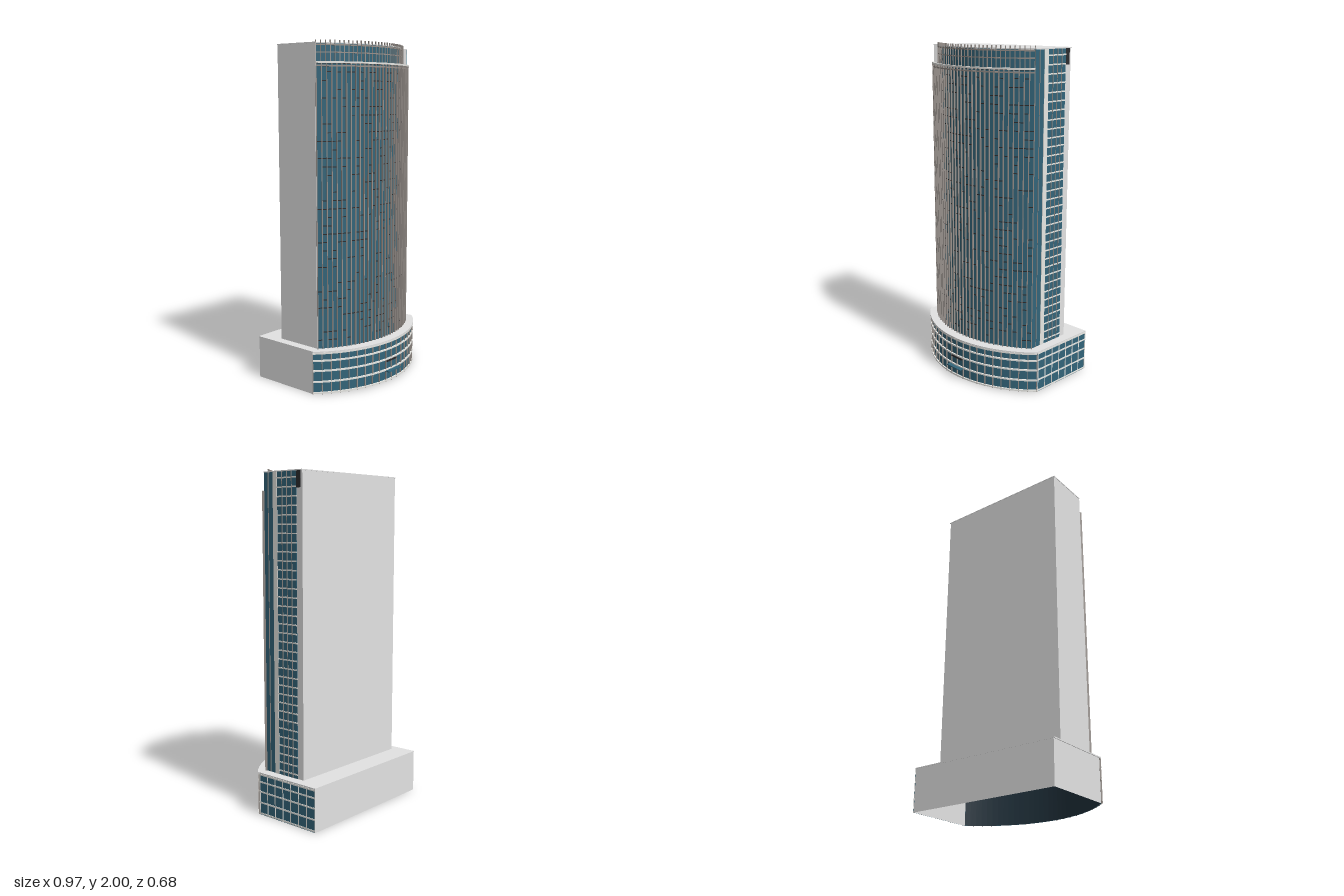
import * as THREE from 'three';
import { mergeGeometries } from 'three/addons/utils/BufferGeometryUtils.js';

const mat = (name, color, side = THREE.FrontSide) => {
  const m = new THREE.MeshStandardMaterial({ color, side });
  m.name = name;
  return m;
};

// Curved front described by half width, z at its ends and z at its middle
function makeArc(half, zEnd, apex) {
  const s = apex - zEnd, R = (half * half + s * s) / (2 * s);
  const max = Math.asin(half / R);
  // t runs from -1 (right end) to 1 (left end)
  const at = (t, off = 0) => {
    const a = t * max;
    return { x: (R + off) * Math.sin(a), z: apex - R + (R + off) * Math.cos(a), a };
  };
  const points = (n, off = 0) => Array.from({ length: n + 1 }, (_, i) => at(-1 + 2 * i / n, off));
  return { at, points, bay: n => 2 * max * R / n };
}

// Plan outline, drawn so that it lies flat after turning it upwards
const plan = pts => new THREE.Shape(pts.map(p => new THREE.Vector2(p.x, -p.z)));

function prism(pts, y0, y1) {
  return new THREE.ExtrudeGeometry(plan(pts), { depth: y1 - y0, bevelEnabled: false })
    .rotateX(-Math.PI / 2).translate(0, y0, 0);
}

// Upright faceted wall along plan points
function wall(pts, y0, y1) {
  const v = [];
  for (let i = 0; i < pts.length - 1; i++) {
    const a = pts[i], b = pts[i + 1];
    v.push(a.x, y0, a.z, b.x, y0, b.z, b.x, y1, b.z, a.x, y0, a.z, b.x, y1, b.z, a.x, y1, a.z);
  }
  const g = new THREE.BufferGeometry();
  g.setAttribute('position', new THREE.Float32BufferAttribute(v, 3));
  g.computeVertexNormals();
  return g;
}

// Horizontal rail following a curved front
const rail = (arc, o0, o1, y0, y1, n = 32) =>
  prism([...arc.points(n, o0), ...arc.points(n, o1).reverse()], y0, y1);

// Box standing on a curved front
function arcBox(arc, t, off, w, d, y0, y1) {
  const p = arc.at(t, off);
  return new THREE.BoxGeometry(w, y1 - y0, d).rotateY(p.a).translate(p.x, (y0 + y1) / 2, p.z);
}

const box = (x0, x1, y0, y1, z0, z1) => new THREE.BoxGeometry(x1 - x0, y1 - y0, z1 - z0)
  .translate((x0 + x1) / 2, (y0 + y1) / 2, (z0 + z1) / 2);

// Joins boxes and prisms, which differ in whether they are indexed
const merge = list => mergeGeometries(list.map(g => (g.index ? g.toNonIndexed() : g)));

export function createModel() {
  const group = new THREE.Group();
  const concrete = mat('concrete', 0xe3e3e3, THREE.DoubleSide);
  const glass = mat('teal glass', 0x33657a, THREE.DoubleSide);
  const lining = mat('dark glass lining', 0x22333e);
  const dark = mat('dark metal', 0x2c2c2e);
  const metal = mat('grey metal', 0x98918c);
  const trim = mat('light trim', 0xe8e8e4);
  const add = (name, geo, material) => {
    const m = new THREE.Mesh(Array.isArray(geo) ? merge(geo) : geo, material);
    m.name = name;
    group.add(m);
  };

  const wallTop = 0.249, base = 0.256, ledge = 1.87, roof = 1.986;
  const podiumArc = makeArc(0.475, 0.1, 0.3);
  const lowerArc = makeArc(0.42, 0.09, 0.243);
  const upperArc = makeArc(0.4, 0.07, 0.215);

  // Vertical fins standing on a curved front
  function fins(name, arc, n, w, depth, y0, y1, material) {
    const blades = [];
    for (let i = 0; i <= n; i++) blades.push(arcBox(arc, -1 + 2 * i / n, depth / 2, w, depth, y0, y1));
    add(name, blades, material);
  }

  // Podium: open below, curved glass front, plain back and right
  const podiumFront = podiumArc.points(32);
  const back = [{ x: 0.475, z: -0.339 }, { x: -0.475, z: -0.339 }];
  add('podiumRoof', prism([...podiumArc.points(32, 0.011),
    { x: 0.479, z: 0.1 }, { x: 0.479, z: -0.34 }, { x: -0.479, z: -0.34 }, { x: -0.479, z: 0.1 }],
  wallTop, base), concrete);
  add('podiumWalls', wall([podiumFront[32], ...back, podiumFront[0]], 0, wallTop), concrete);
  add('podiumFrontGlass', wall(podiumFront, 0, wallTop), glass);
  add('podiumLining', wall(podiumArc.points(32, -0.004).reverse(), 0, wallTop), lining);
  add('podiumSideGlass', box(0.4755, 0.477, 0, wallTop, -0.339, 0.1), glass);
  fins('podiumFins', podiumArc, 20, 0.005, 0.008, 0, wallTop, metal);

  const rails = [], posts = [];
  for (const y of [0.004, 0.07, 0.135, 0.195, 0.239]) {
    rails.push(rail(podiumArc, 0.001, 0.01, y, y + 0.009));
    rails.push(box(0.476, 0.48, y, y + 0.009, -0.34, 0.1));
  }
  for (let i = 0; i <= 7; i++) {
    const z = -0.337 + i * 0.0615;
    posts.push(box(0.476, 0.479, 0, wallTop, z - 0.003, z + 0.003));
  }
  add('podiumRails', rails, trim);
  add('podiumSidePosts', posts, trim);

  // Entrance with a flared canopy
  add('entranceCanopy', prism([{ x: -0.057, z: 0.299 }, { x: 0.057, z: 0.299 },
    { x: 0.06, z: 0.335 }, { x: -0.06, z: 0.335 }], 0.066, 0.072), glass);
  add('entranceLintel', box(-0.045, 0.045, 0.122, 0.132, 0.3, 0.31), dark);

  // Tower body with a set back top storey under a flat roof
  const rear = [{ x: 0.42, z: -0.2 }, { x: -0.424, z: -0.2 }];
  const topFront = upperArc.points(32);
  add('towerBody', prism([{ x: -0.424, z: 0.088 }, ...lowerArc.points(32), ...rear], base, ledge), concrete);
  add('towerTop', prism([{ x: -0.424, z: 0.088 }, ...topFront, { x: 0.42, z: 0.088 }, ...rear],
    ledge, 1.98), concrete);
  add('towerRoof', prism([{ x: -0.426, z: 0.09 }, ...upperArc.points(32, 0.004), { x: 0.426, z: 0.09 },
    { x: 0.426, z: -0.201 }, { x: -0.426, z: -0.201 }], 1.98, roof), concrete);

  // Curved curtain walls
  add('towerFrontGlass', wall(lowerArc.points(32, 0.003), base, ledge), glass);
  add('topFrontGlass', wall(upperArc.points(32, 0.003), ledge, 1.98), glass);
  fins('towerFins', lowerArc, 32, 0.005, 0.013, base, 1.88, metal);
  fins('topFins', upperArc, 32, 0.004, 0.008, ledge, 2.0, metal);
  add('ledgeRails', rail(lowerArc, 0.001, 0.012, 1.855, 1.863), metal);
  add('ledgeCoping', rail(lowerArc, 0.001, 0.014, 1.873, 1.883), trim);
  add('ledgeGutter', rail(lowerArc, -0.003, 0.001, 1.866, 1.878), dark);
  add('topRails', [rail(upperArc, 0.001, 0.007, 1.93, 1.936),
    rail(upperArc, 0.001, 0.007, 1.97, 1.978)], metal);

  // Scattered dark floor strips between the fins
  let seed = 7;
  const rnd = () => (seed = (seed * 16807) % 2147483647) / 2147483647;
  const strips = [], bay = lowerArc.bay(32);
  for (let f = 1; f < 34; f++) {
    const y = base + f * 0.0475;
    for (let i = 0; i < 32; i++) {
      if (rnd() < 0.4) strips.push(arcBox(lowerArc, -1 + (2 * i + 1) / 32, 0.004, bay, 0.003, y, y + 0.005));
    }
  }
  add('floorStrips', strips, dark);

  // Left side: narrow glass, pale pier and window grid
  add('sideGlass', [box(0.419, 0.422, base, 1.98, 0.02, 0.089),
    box(0.419, 0.422, base, 1.98, -0.157, -0.01)], glass);
  add('sidePier', box(0.419, 0.425, base, 1.98, -0.012, 0.02), trim);
  const floors = [], mullions = [];
  for (let i = 0; i < 34; i++) {
    const y = base + 0.02 + i * 0.0505;
    floors.push(box(0.42, 0.4245, y, y + 0.008, -0.157, -0.01));
  }
  for (const z of [-0.122, -0.086, -0.05, 0.057]) {
    mullions.push(box(0.42, 0.4255, base, 1.98, z - 0.002, z + 0.002));
  }
  add('sideFloorBands', floors, trim);
  add('sideMullions', mullions, metal);
  add('sideVent', box(0.419, 0.423, 1.89, 1.98, -0.188, -0.157), dark);

  return group;
}
